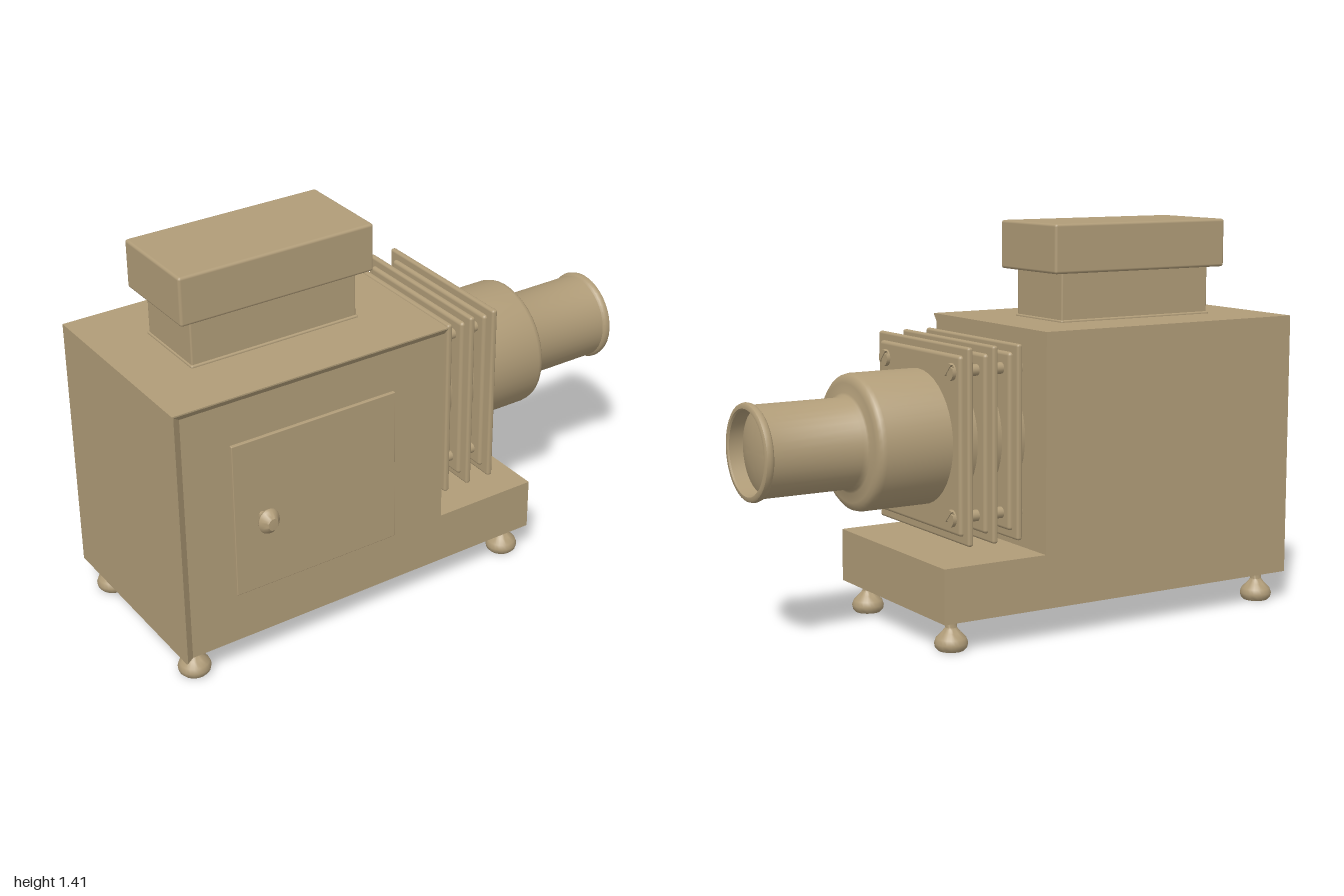
import * as THREE from 'three';
import { RoundedBoxGeometry } from 'three/addons/geometries/RoundedBoxGeometry.js';
import { toCreasedNormals } from 'three/addons/utils/BufferGeometryUtils.js';

const tan = new THREE.MeshStandardMaterial({ color: 0xb09c78 });
const AXIS_Y = 0.685, AXIS_Z = -0.04; // optical axis

export function createModel() {
  const root = new THREE.Group();

  const add = (name, geometry, x = 0, y = 0, z = 0, parent = root) => {
    const mesh = new THREE.Mesh(geometry, tan);
    mesh.name = name;
    mesh.position.set(x, y, z);
    parent.add(mesh);
    return mesh;
  };
  // box given by its minimum and maximum corners
  const box = (name, a, b, r = 0.006) => add(name,
    new RoundedBoxGeometry(b[0] - a[0], b[1] - a[1], b[2] - a[2], 2, r),
    (a[0] + b[0]) / 2, (a[1] + b[1]) / 2, (a[2] + b[2]) / 2);
  const polygon = pts => new THREE.Shape(pts.map(p => new THREE.Vector2(...p)));
  const extrude = (shape, depth) =>
    new THREE.ExtrudeGeometry(shape, { depth, bevelEnabled: false, curveSegments: 12 });
  // profile points are [radius, height]
  const lathe = (pts, segments = 32) => toCreasedNormals(
    new THREE.LatheGeometry(pts.map(p => new THREE.Vector2(...p)), segments), 0.6);

  // Lamp house with the low step that carries the optics
  add('lampHouse', extrude(polygon([
    [-1, 0.11], [0.46, 0.11], [0.46, 0.3], [0.06, 0.3], [0.06, 1.065], [-1, 1.065],
  ]), 0.74), 0, 0, -0.41);

  // Sloping lips along the left and top edges of the front
  const sideLip = extrude(polygon([[-1, -0.33], [-0.965, -0.33], [-0.995, -0.35], [-1, -0.35]]), 0.955);
  sideLip.rotateX(-Math.PI / 2);
  add('sideLip', sideLip, 0, 0.11, 0);
  const topLip = extrude(polygon([[-0.33, 1.035], [-0.33, 1.065], [-0.35, 1.065], [-0.35, 1.06]]), 1.06);
  topLip.rotateY(Math.PI / 2);
  add('topLip', topLip, -1, 0, 0);

  // Door and its knob
  box('door', [-0.79, 0.3, 0.32], [-0.15, 0.88, 0.342], 0.003);
  const knob = lathe([
    [0.016, 0], [0.016, 0.03], [0.026, 0.034], [0.043, 0.048], [0.047, 0.056],
    [0.043, 0.064], [0.028, 0.078], [0.022, 0.084], [0, 0.085],
  ], 24);
  knob.rotateX(Math.PI / 2);
  add('doorKnob', knob, -0.685, 0.585, 0.33).scale.x = 0.85;

  // Chimney with a small flare at the foot, and its cap
  box('chimneyNeck', [-0.79, 1.05, -0.185], [-0.15, 1.26, 0.105]);
  box('chimneyFlare', [-0.795, 1.055, -0.192], [-0.145, 1.073, 0.112]);
  box('chimneyCap', [-0.84, 1.238, -0.22], [-0.1, 1.412, 0.14], 0.01);

  // Feet
  const footGeometry = lathe([
    [0, 0], [0.046, 0], [0.055, 0.01], [0.058, 0.025], [0.052, 0.042], [0.034, 0.06],
    [0.024, 0.072], [0.02, 0.078], [0.02, 0.095], [0.025, 0.098], [0.025, 0.112],
  ], 24);
  for (const x of [-0.927, 0.392]) {
    for (const z of [0.265, -0.335]) add('foot', footGeometry, x, 0, z);
  }

  // Cooling plates: a thin flange around a thicker middle
  for (const x of [0.128, 0.225, 0.322]) {
    add('plateFlange', new RoundedBoxGeometry(0.022, 0.675, 0.625, 2, 0.009), x, AXIS_Y, AXIS_Z);
    add('plateCore', new RoundedBoxGeometry(0.05, 0.615, 0.56, 3, 0.012), x, AXIS_Y, AXIS_Z);
  }

  // Through bolts with slotted heads at both ends
  const half = new THREE.Shape();
  const slot = Math.asin(0.2);
  half.absarc(0, 0, 0.03, slot, Math.PI - slot, false);
  half.closePath();
  const headHalf = extrude(half, 0.01);
  for (const y of [0.435, 0.935]) {
    for (const z of [0.19, -0.27]) {
      const bolt = new THREE.Group();
      bolt.name = 'bolt';
      bolt.position.set(0.223, y, z);
      root.add(bolt);
      const rod = new THREE.CylinderGeometry(0.02, 0.02, 0.27, 16);
      rod.rotateZ(Math.PI / 2);
      add('boltRod', rod, 0, 0, 0, bolt);
      for (const side of [1, -1]) {
        const head = new THREE.Group();
        head.name = 'boltHead';
        head.rotation.y = side * Math.PI / 2;
        head.position.x = side * 0.124;
        bolt.add(head);
        const disc = new THREE.CylinderGeometry(0.03, 0.03, 0.008, 20);
        disc.rotateX(Math.PI / 2);
        add('boltDisc', disc, 0, 0, 0.002, head);
        for (const turn of [0, Math.PI]) {
          add('boltHeadHalf', headHalf, 0, 0, 0.004, head).rotation.z = turn + Math.PI / 4;
        }
      }
    }
  }

  // Lens barrel, stepped down to a nozzle with a rolled lip and a domed lens
  const barrel = lathe([
    [0.237, 0.05], [0.237, 0.595], [0.233, 0.61], [0.222, 0.62], [0.205, 0.625],
    [0.172, 0.627], [0.164, 0.632], [0.157, 0.645], [0.157, 0.968],
    [0.164, 0.974], [0.167, 0.985], [0.164, 0.996], [0.158, 1.0], [0.147, 1.0],
    [0.142, 0.995], [0.142, 0.945], [0.11, 0.957], [0.06, 0.967], [0, 0.971],
  ], 40);
  barrel.rotateZ(-Math.PI / 2);
  add('lensBarrel', barrel, 0, AXIS_Y, AXIS_Z);

  return root;
}
